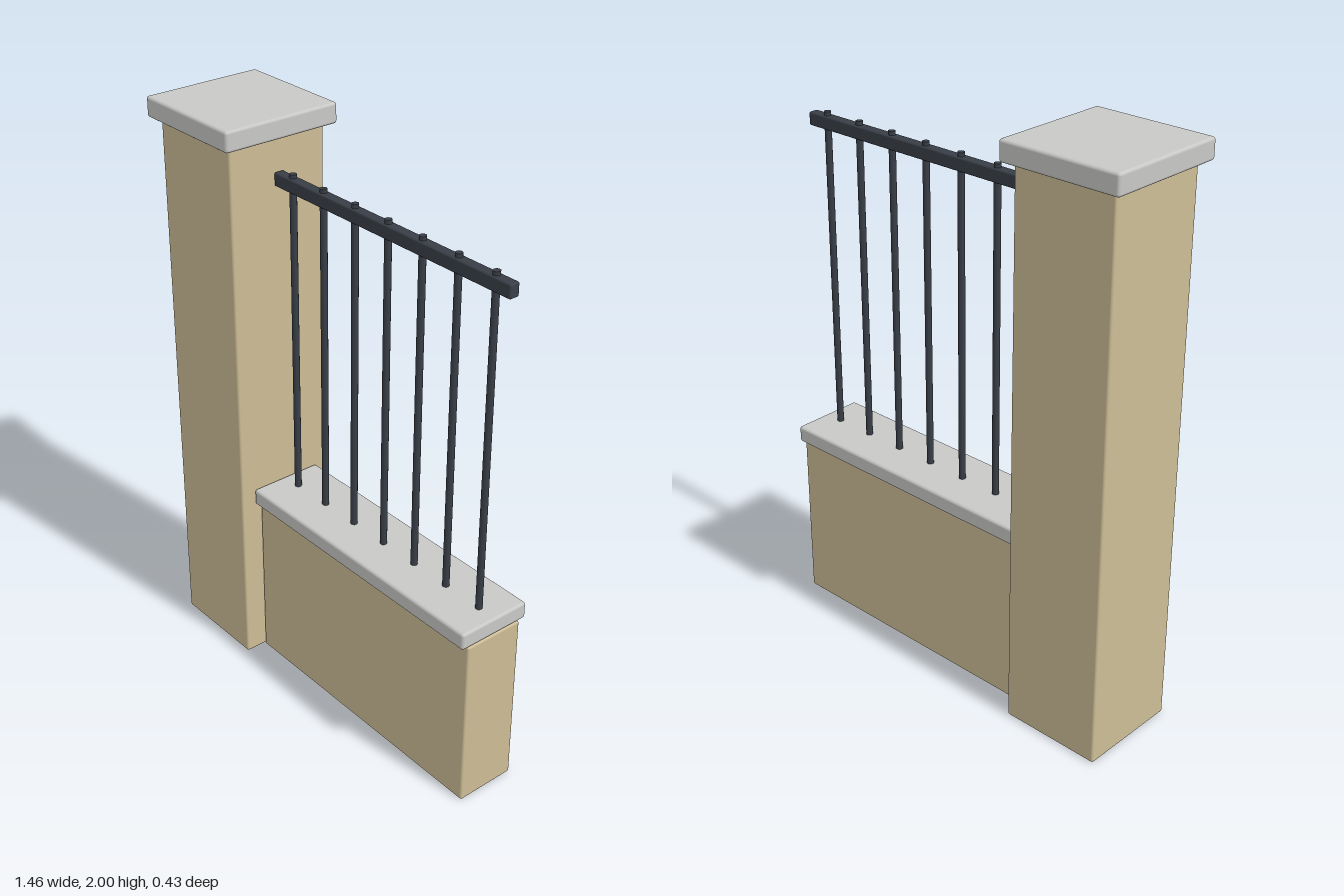
import * as THREE from 'three';
import { RoundedBoxGeometry } from 'three/addons/geometries/RoundedBoxGeometry.js';

const material = (name, color) => {
  const m = new THREE.MeshStandardMaterial({ color });
  m.name = name;
  return m;
};

export function createModel() {
  const group = new THREE.Group();
  group.name = 'fenceSection';
  const sandstone = material('sandstone', 0xcdbd96);
  const paleStone = material('paleStone', 0xc8c8c6);
  const iron = material('darkIron', 0x393e47);

  // Soft-edged block given by its x and y ranges and its depth
  const block = (name, x0, x1, y0, y1, depth, radius, mat) => {
    const geometry = new RoundedBoxGeometry(x1 - x0, y1 - y0, depth, 2, radius);
    const mesh = new THREE.Mesh(geometry, mat);
    mesh.name = name;
    mesh.position.set((x0 + x1) / 2, (y0 + y1) / 2, 0);
    group.add(mesh);
  };

  // Gate pillar and its cap
  block('pillar', -0.698, -0.33, 0, 1.928, 0.368, 0.008, sandstone);
  block('pillarCap', -0.73, -0.298, 1.93, 2, 0.432, 0.01, paleStone);

  // Low wall and its coping
  block('wall', -0.327, 0.727, 0, 0.623, 0.218, 0.008, sandstone);
  block('wallCoping', -0.327, 0.727, 0.624, 0.684, 0.268, 0.01, paleStone);

  // Railing
  block('topRail', -0.327, 0.727, 1.77, 1.816, 0.036, 0.006, iron);
  const barGeometry = new THREE.CylinderGeometry(0.012, 0.012, 1.16, 12);
  for (let i = 0; i < 7; i++) {
    const bar = new THREE.Mesh(barGeometry, iron);
    bar.name = `railingBar${i + 1}`;
    bar.position.set(-0.252 + i * 0.151, 1.249, 0);
    group.add(bar);
  }
  return group;
}
